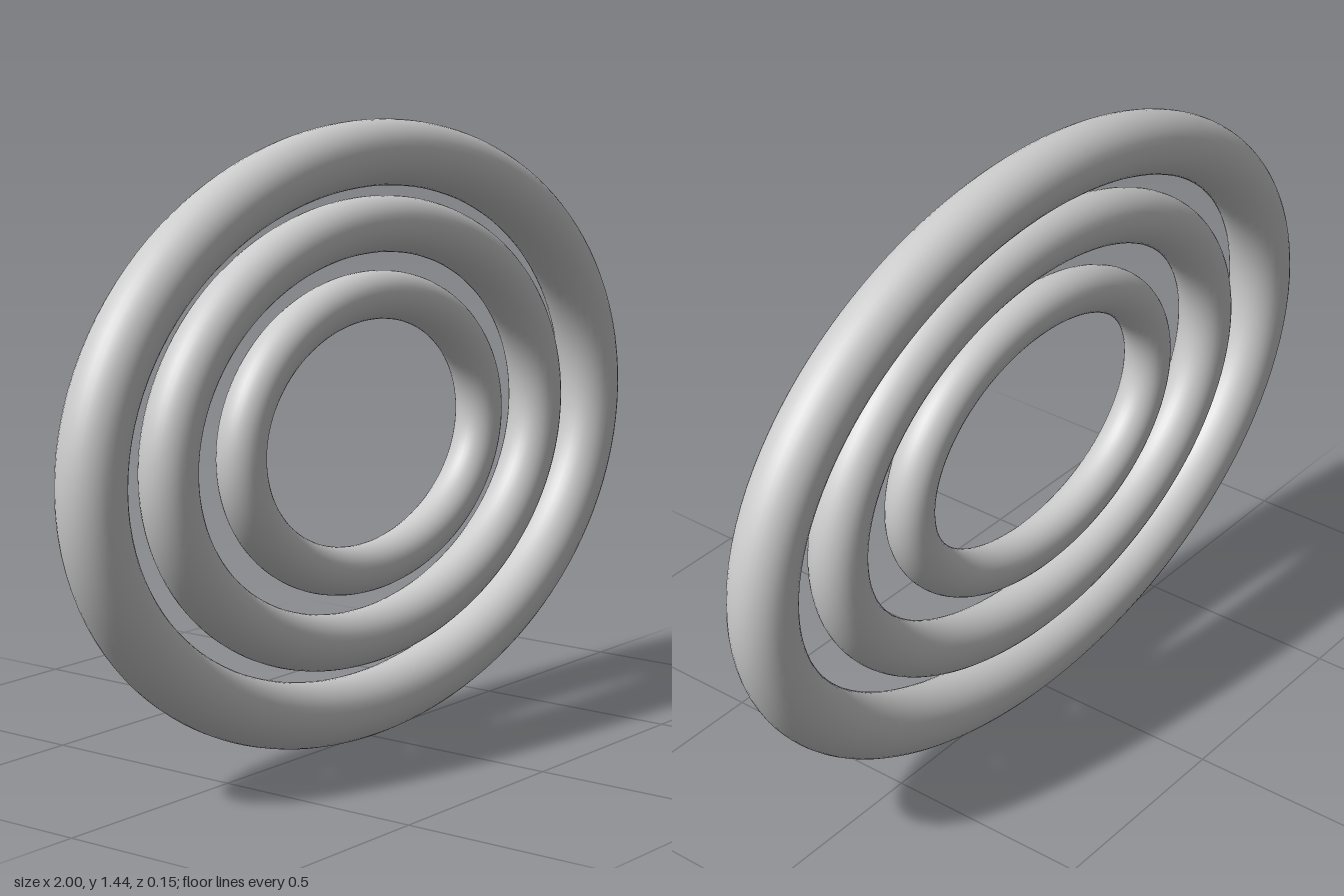
import * as THREE from 'three';

// Closed ellipse in the XY plane, used as the centre line of a ring
class EllipseLoop extends THREE.Curve {
  constructor(rx, ry) {
    super();
    this.rx = rx;
    this.ry = ry;
  }
  getPoint(t, target = new THREE.Vector3()) {
    const a = t * Math.PI * 2;
    return target.set(this.rx * Math.cos(a), this.ry * Math.sin(a), 0);
  }
}

export function createModel() {
  const group = new THREE.Group();
  group.name = 'nestedRings';
  const material = new THREE.MeshStandardMaterial({ color: 0xcccccc });

  // Three concentric oval rings: centre line half-width, half-height, tube radius
  const rings = [
    ['outerRing', 0.924, 0.642, 0.076],
    ['middleRing', 0.685, 0.479, 0.065],
    ['innerRing', 0.445, 0.317, 0.056],
  ];
  for (const [name, rx, ry, radius] of rings) {
    const ring = new THREE.Mesh(
      new THREE.TubeGeometry(new EllipseLoop(rx, ry), 128, radius, 32, true),
      material
    );
    ring.name = name;
    ring.position.y = 0.72;
    group.add(ring);
  }
  return group;
}
